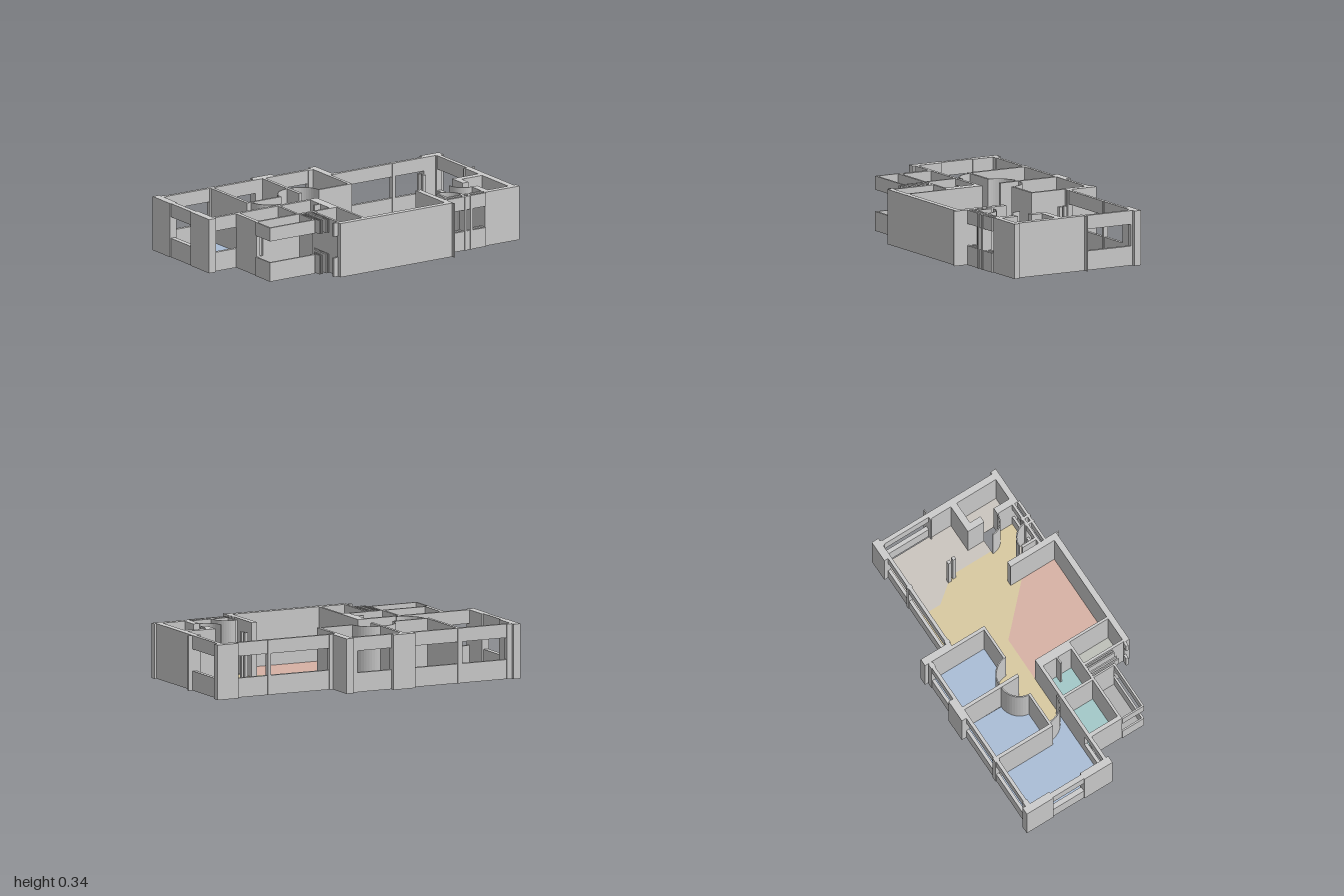
import * as THREE from 'three';

// Plan coordinates: x to the right, z towards the front, 187 plan units per model unit
const S = 187, CX = 1134.5, CZ = 225;
const X = p => (p - CX) / S, Z = q => (q - CZ) / S;
const H = 0.34, SILL = 0.12, HEAD = 0.255, FLOOR = 0.004;
const PI = Math.PI;

const mat = color => new THREE.MeshStandardMaterial({ color, flatShading: true });

export function createModel() {
  const model = new THREE.Group();
  const grey = mat(0xcccccc);

  function block(name, x0, z0, x1, z1, y0 = 0, y1 = H) {
    const g = new THREE.BoxGeometry((x1 - x0) / S, y1 - y0, (z1 - z0) / S);
    const m = new THREE.Mesh(g, grey);
    m.position.set(X((x0 + x1) / 2), (y0 + y1) / 2, Z((z0 + z1) / 2));
    m.name = name;
    model.add(m);
  }

  // Wall strip left open between sill and lintel
  function windowStrip(name, x0, z0, x1, z1) {
    block(name + 'Sill', x0, z0, x1, z1, 0, SILL);
    block(name + 'Lintel', x0, z0, x1, z1, HEAD, H);
  }

  function arcPoints(cx, cz, r, a0, a1, n = 12) {
    return Array.from({ length: n + 1 }, (_, i) => {
      const a = a0 + (a1 - a0) * i / n;
      return [cx + r * Math.cos(a), cz + r * Math.sin(a)];
    });
  }

  // Plan outline raised to a slab
  function slab(name, pts, material, top) {
    const shape = new THREE.Shape(pts.map(([x, z]) => new THREE.Vector2(X(x), Z(z))));
    const g = new THREE.ExtrudeGeometry(shape, { depth: top, bevelEnabled: false });
    g.rotateX(PI / 2).translate(0, top, 0);
    const m = new THREE.Mesh(g, material);
    m.name = name;
    model.add(m);
  }

  const rect = (x0, z0, x1, z1) => [[x0, z0], [x1, z0], [x1, z1], [x0, z1]];

  // Door swings: centre x, centre z, radius, start and end angle
  const swings = {
    westBedroom: [1052, 199, 24, PI, PI / 2],
    middleBedroom: [1092.5, 199, 24, PI, 1.5 * PI],
    eastBedroom: [1097.5, 199, 24, 1.5 * PI, 2 * PI],
    entrance: [1226, 305, 20, 0, -PI / 2],
    store: [1272, 267, 18, PI / 2, PI],
  };
  for (const [name, [cx, cz, r, a0, a1]] of Object.entries(swings)) {
    slab(name + 'DoorSwing', [
      ...arcPoints(cx, cz, r + 0.7, a0, a1),
      ...arcPoints(cx, cz, r - 0.7, a1, a0),
    ], grey, H);
  }
  const swing = k => arcPoints(...swings[k]);

  // Floors
  const blue = mat(0xaabdd6), teal = mat(0xa2c8c8), sand = mat(0xd8c9a0);
  const stone = mat(0xcac5be);
  slab('westBedroomFloor', [[957, 125], [1022, 125], [1022, 199],
    ...swing('westBedroom'), [1052, 225], [957, 225]], blue, FLOOR);
  slab('middleBedroomFloor', [[1026, 125], [1093, 125], [1092.5, 175],
    ...swing('middleBedroom').reverse(), [1068, 197], [1026, 197]], blue, FLOOR);
  slab('eastBedroomFloor', [[1097, 125], [1163, 125], [1163, 197], [1121.5, 197],
    ...swing('eastBedroom').reverse()], blue, FLOOR);
  slab('hallFloor', [[1165, 155], [1234, 155], [1234, 183], [1245, 197], [1252, 206],
    [1257, 215], [1257, 267], ...swing('store').reverse(), [1272, 305],
    ...swing('entrance'), [1217, 285], [1217, 263], [1210, 263], [1210, 278],
    [1156, 225], [1052, 225], ...swing('westBedroom').reverse(), [1068, 199],
    ...swing('middleBedroom'), ...swing('eastBedroom'), [1165, 199]], sand, FLOOR);
  slab('kitchenFloor', [[1234, 155], [1310, 155], [1310, 245], [1272, 245], [1272, 267],
    [1257, 267], [1257, 215], [1252, 206], [1245, 197], [1234, 183]], stone, FLOOR);
  slab('livingRoomFloor', [[1100, 225], [1156, 225], [1210, 278], [1210, 322],
    [1100, 322]], mat(0xd7b1a4), FLOOR);
  slab('entranceFloor', [[1226, 305], ...swing('entrance')], stone, FLOOR);
  slab('storeFloor', rect(1280, 253, 1308, 306), stone, FLOOR);
  slab('bathroomFloor', [[992, 229], [1044, 229], [1044, 267], [992, 267]], teal, FLOOR);
  slab('washroomFloor', rect(1047, 229, 1089, 267), teal, FLOOR);
  slab('balconyFloor', rect(988, 270, 1046, 297), mat(0xb0b0b0), FLOOR);
  slab('utilityFloor', rect(1067, 270, 1097, 322), mat(0xbdbfb8), FLOOR);

  // West wall with its window
  block('westWall', 948, 116, 957, 152);
  block('westWall', 948, 194, 957, 232);
  windowStrip('westWindow', 949, 152, 955, 194);

  // North side of the bedrooms
  windowStrip('bedroomWindow', 957, 121, 1083, 125);
  windowStrip('bedroomWindow', 1111, 121, 1162, 125);
  block('northPier', 1083, 115, 1111, 125);
  block('northPier', 1162, 116, 1171, 155);
  for (const x of [957, 1020, 1155]) block('windowPost', x, 120, x + 6, 126);

  // North side of the kitchen
  windowStrip('kitchenWindow', 1171, 151, 1295, 155);
  block('windowPost', 1250, 150, 1254, 156);
  block('windowPost', 1171, 150, 1175, 156);
  block('cornerPier', 1294, 146, 1320.5, 155);

  // East side and store room
  block('eastWall', 1310, 155, 1317, 157);
  windowStrip('eastWindow', 1311, 157, 1316, 217);
  block('eastLedge', 1306, 217, 1321.5, 218.5);
  block('eastWall', 1308, 218.5, 1316, 313);
  block('storeNorthWall', 1272, 245, 1308, 253);
  block('storeSouthWall', 1272, 306, 1319, 313);
  block('storeWestWall', 1272, 253, 1280, 267);
  block('storeWestWall', 1272, 285, 1280, 306);

  // Bedroom partitions
  for (const x of [1022, 1093, 1162]) block('bedroomPartition', x, 125, x + 4, 199);
  block('bedroomSouthWall', 1026, 196, 1069, 199);
  block('bedroomSouthWall', 1121, 196, 1162, 199);

  // Wet rooms and balcony
  windowStrip('southWestWindow', 957, 225, 996, 229);
  block('bathroomNorthWall', 996, 225, 1100, 229);
  block('bathroomWestWall', 987, 229, 992, 270);
  windowStrip('bathroomWindow', 992, 267, 996, 270);
  block('bathroomSouthWall', 996, 267, 1100, 270);
  block('bathroomPartition', 1044, 229, 1047, 267);
  block('shaftWall', 1089, 229, 1100, 267);
  block('showerScreen', 1081, 247, 1089, 249);
  windowStrip('balconyRailWest', 986, 270, 988, 297);
  windowStrip('balconyRailSouth', 986, 297, 1048, 299.5);
  block('balconyEastWall', 1046, 270, 1048, 297);

  // Louvred recess beside the utility room
  for (const x of [1049.5, 1053, 1058.5, 1061]) windowStrip('louvre', x, 270, x + 1.5, 306);
  windowStrip('utilityWindow', 1057.5, 321, 1063, 324);
  block('utilityWestWall', 1064, 270, 1067, 322);
  block('utilityEastWall', 1097, 270, 1100, 322);

  // Living room
  block('livingSouthWall', 1063, 322, 1210, 329);
  block('livingEastWall', 1210, 263, 1217, 329);
  block('livingCornerPost', 1216, 315, 1217.5, 332.5);

  // Entrance windows
  windowStrip('entranceInnerWindow', 1217, 305, 1272, 308);
  windowStrip('entranceOuterWindow', 1217, 312, 1272, 315);
  block('entranceStub', 1222, 287, 1225, 305);
  for (const x of [1242, 1250]) block('entrancePost', x, 304, x + 3, 316);

  // Small posts between hall and kitchen
  block('kitchenPost', 1251, 205, 1255, 209);
  block('kitchenPost', 1252, 212, 1256, 216);
  return model;
}
